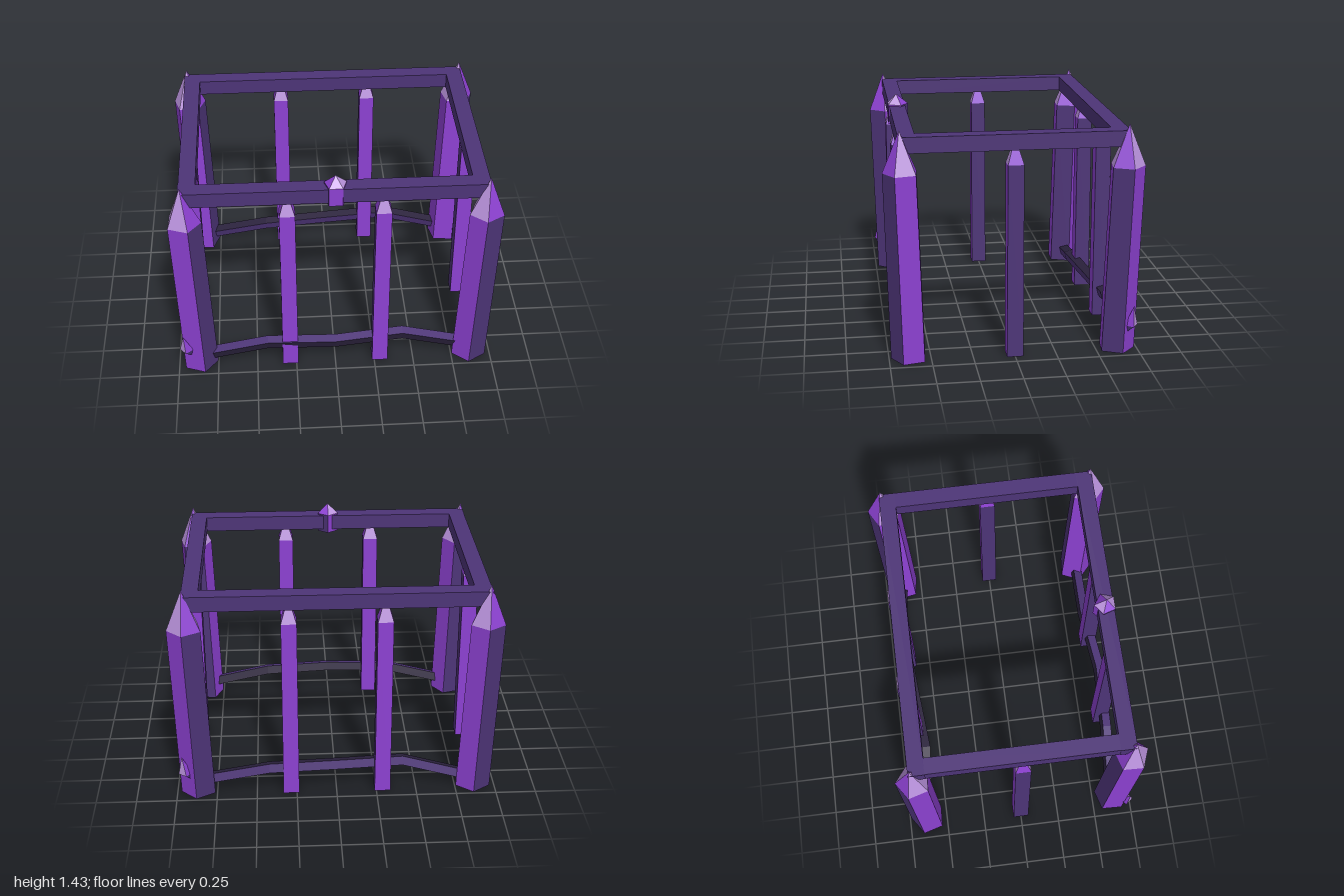
import * as THREE from 'three';

const mat = (name, color, side = THREE.FrontSide) => {
  const m = new THREE.MeshStandardMaterial({ color, side });
  m.name = name;
  return m;
};

export function createModel() {
  const group = new THREE.Group();
  // Crystals are open underneath, so their colours show on both sides
  const purple = mat('crystal purple', 0x8d41d2, THREE.DoubleSide);
  const dark = mat('dark violet', 0x4d3477, THREE.DoubleSide);
  const lilac = mat('pale lilac', 0xb992dc, THREE.DoubleSide);
  const black = mat('root black', 0x2a213c);

  // Faceted geometry from triangles sorted into one bucket per material
  function facets(buckets) {
    const g = new THREE.BufferGeometry();
    let start = 0;
    buckets.forEach((b, i) => {
      g.addGroup(start, b.length, i);
      start += b.length;
    });
    g.setFromPoints(buckets.flat());
    g.computeVertexNormals();
    return g;
  }

  // Hollow pointed prism: alternating purple and dark sides, lilac and purple tip facets
  function crystal(name, n, startDeg, base, rBase, shoulder, rShoulder, apex) {
    const ring = (c, r) => Array.from({ length: n }, (_, i) => {
      const a = THREE.MathUtils.degToRad(startDeg) + (i / n) * Math.PI * 2;
      return new THREE.Vector3(c[0] + r * Math.cos(a), c[1], c[2] + r * Math.sin(a));
    });
    const b = ring(base, rBase), t = ring(shoulder, rShoulder);
    const tip = new THREE.Vector3(...apex);
    const buckets = [[], [], []];
    for (let i = 0; i < n; i++) {
      const j = (i + 1) % n, odd = i % 2;
      buckets[odd].push(b[i], t[i], t[j], b[i], t[j], b[j]);
      buckets[odd ? 0 : 2].push(t[i], tip, t[j]);
    }
    const mesh = new THREE.Mesh(facets(buckets), [purple, dark, lilac]);
    mesh.name = name;
    group.add(mesh);
  }

  // Leaning five-sided corner posts: x sign, z sign, rotation
  for (const [sx, sz, rot] of [[1, 1, 167], [-1, 1, 146], [1, -1, 133], [-1, -1, 128]]) {
    crystal('cornerPost', 5, rot,
      [sx * 0.864, 0, sz * 0.626], 0.112,
      [sx * 0.898, 1.15, sz * 0.658], 0.108,
      [sx * 0.905, 1.4, sz * 0.665]);
  }

  // Slim square posts under the rails
  for (const [x, z] of [[-0.288, 0.635], [0.285, 0.635], [-0.288, -0.645], [0.285, -0.645], [0.88, 0], [-0.885, 0]]) {
    crystal('slimPost', 4, 45, [x, 0, z], 0.07, [x, 1.18, z], 0.067, [x, 1.34, z]);
  }

  // Top frame, purple underneath
  const rail = (name, w, d, x, z) => {
    const m = new THREE.Mesh(new THREE.BoxGeometry(w, 0.095, d), [dark, dark, dark, purple, dark, dark]);
    m.position.set(x, 1.312, z);
    m.name = name;
    group.add(m);
  };
  rail('frontRail', 1.83, 0.1, -0.004, 0.622);
  rail('backRail', 1.83, 0.1, -0.004, -0.626);
  rail('leftRail', 0.1, 1.15, 0.861, -0.003);
  rail('rightRail', 0.1, 1.15, -0.867, -0.003);

  // Ornament set through the front rail, flat side forward
  crystal('railGem', 5, 54, [0, 1.245, 0.621], 0.07, [0, 1.368, 0.621], 0.07, [0, 1.43, 0.625]);

  // Small shards leaning out of two corner posts
  crystal('shard', 4, 95, [-0.905, 0.13, 0.67], 0.035, [-0.942, 0.18, 0.708], 0.042, [-0.957, 0.3, 0.725]);
  crystal('shard', 4, 260, [0.905, 0.12, -0.66], 0.035, [0.94, 0.17, -0.7], 0.042, [0.957, 0.295, -0.712]);

  // Roots: tilted square section swept along a bent path, upright and level faces in two colours
  function root(name, path, levelMat, uprightMat) {
    const section = [0, 1, 2, 3].map(i => {
      const a = THREE.MathUtils.degToRad(30 + i * 90);
      return [Math.sin(a) * 0.041, Math.cos(a) * 0.041];
    });
    const rings = path.map(([x, y, z]) => section.map(([dy, dz]) => new THREE.Vector3(x, y + dy, z + dz)));
    const buckets = [[], []];
    for (let k = 0; k < rings.length - 1; k++) {
      for (let i = 0; i < 4; i++) {
        const j = (i + 1) % 4, p = rings[k], q = rings[k + 1];
        buckets[i % 2].push(p[i], q[i], q[j], p[i], q[j], p[j]);
      }
    }
    const s = rings[0], e = rings[rings.length - 1];
    buckets[0].push(s[0], s[1], s[2], s[0], s[2], s[3], e[0], e[2], e[1], e[0], e[3], e[2]);
    const mesh = new THREE.Mesh(facets(buckets), [levelMat, uprightMat]);
    mesh.name = name;
    group.add(mesh);
  }
  root('frontRoot', [[-0.82, 0.07, 0.63], [-0.43, 0.163, 0.65], [0, 0.168, 0.668], [0.43, 0.173, 0.62], [0.82, 0.085, 0.63]], dark, black);
  root('backRoot', [[-0.82, 0.07, -0.63], [-0.42, 0.163, -0.592], [0, 0.168, -0.63], [0.42, 0.173, -0.662], [0.82, 0.085, -0.63]], black, dark);

  return group;
}
